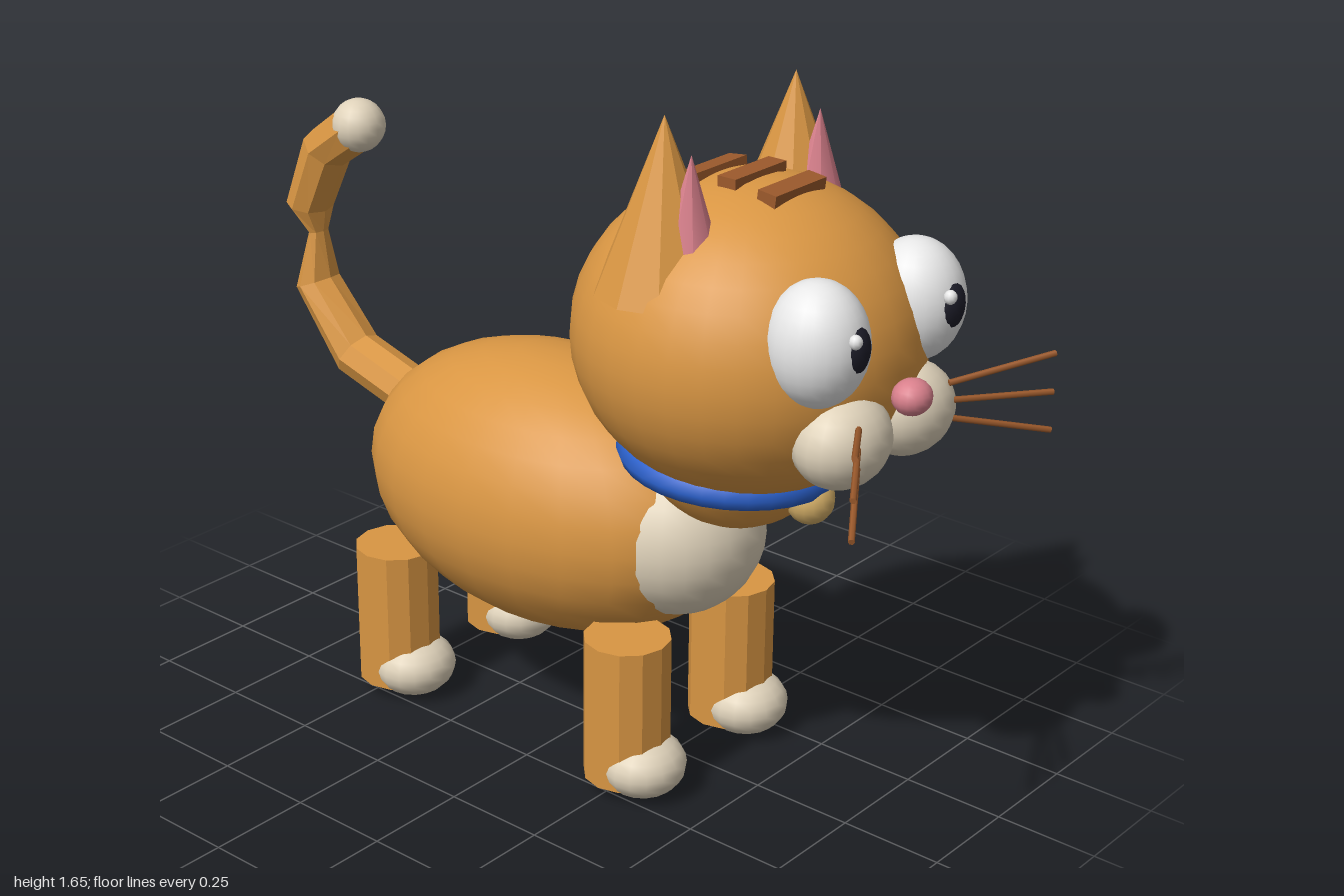
import * as THREE from 'three';

const makeMat = (name, color, flatShading = false) => {
  const m = new THREE.MeshStandardMaterial({ color, flatShading });
  m.name = name;
  return m;
};

export function createModel() {
  const cat = new THREE.Group();
  cat.name = 'cat';
  const fur = makeMat('orange fur', 0xd99643);
  const furFlat = makeMat('orange fur faceted', 0xd99643, true);
  const cream = makeMat('cream fur', 0xdfd2ba);
  const white = makeMat('eye white', 0xe8e8e8);
  const black = makeMat('pupil black', 0x1c1c28);
  const pink = makeMat('pink', 0xd9808c);
  const brown = makeMat('stripe brown', 0x9c5a2c);
  const blue = makeMat('collar blue', 0x2a5fc8);
  const brass = makeMat('bell brass', 0xd6b068);

  const add = (name, geometry, material, x = 0, y = 0, z = 0) => {
    const mesh = new THREE.Mesh(geometry, material);
    mesh.name = name;
    mesh.position.set(x, y, z);
    cat.add(mesh);
    return mesh;
  };
  const ball = (name, material, [x, y, z], [rx, ry, rz], w = 24, h = 16) =>
    add(name, new THREE.SphereGeometry(1, w, h).scale(rx, ry, rz), material, x, y, z);

  // Torso, neck and head, facing +x
  ball('body', fur, [-0.12, 0.595, 0], [0.53, 0.335, 0.335]);
  ball('chest', cream, [0.245, 0.595, 0], [0.21, 0.208, 0.21]);
  ball('neck', fur, [0.42, 0.896, 0], [0.232, 0.232, 0.232]);
  ball('head', fur, [0.443, 1.125, 0], [0.395, 0.355, 0.39], 32, 20);

  // Collar and bell
  const collar = add('collar', new THREE.TorusGeometry(0.23, 0.034, 8, 32).rotateX(Math.PI / 2), blue, 0.408, 0.832, 0);
  collar.rotation.z = -0.06;
  ball('bell', brass, [0.62, 0.775, 0], [0.056, 0.058, 0.056], 16, 12);

  // Forehead stripes
  [[0.335, 1.463, 0.12], [0.44, 1.475, 0], [0.545, 1.464, -0.12]].forEach(([x, y, tilt]) => {
    add('foreheadStripe', new THREE.BoxGeometry(0.048, 0.036, 0.176), brown, x, y, 0).rotation.z = tilt;
  });

  // Nose
  ball('nose', pink, [0.872, 1.085, 0], [0.043, 0.04, 0.047], 16, 12);

  // Whisker rod between two points
  const rod = (name, a, b) => {
    const from = new THREE.Vector3(...a), to = new THREE.Vector3(...b);
    const dir = to.clone().sub(from);
    const mesh = add(name, new THREE.CylinderGeometry(0.007, 0.007, dir.length(), 6), brown);
    mesh.position.copy(from).add(to).multiplyScalar(0.5);
    mesh.quaternion.setFromUnitVectors(new THREE.Vector3(0, 1, 0), dir.normalize());
  };

  // Mirrored parts
  for (const s of [1, -1]) {
    const side = s > 0 ? 'A' : 'B';
    add('ear' + side, new THREE.ConeGeometry(0.15, 0.385, 10), furFlat, 0.382, 1.457, s * 0.225);
    add('innerEar' + side, new THREE.ConeGeometry(0.075, 0.26, 8), pink, 0.452, 1.447, s * 0.222);
    ball('eye' + side, white, [0.75, 1.225, s * 0.175], [0.113, 0.138, 0.11]);
    ball('pupil' + side, black, [0.835, 1.232, s * 0.172], [0.036, 0.058, 0.045], 16, 12);
    ball('eyeGlint' + side, white, [0.86, 1.262, s * 0.17 + 0.026], [0.015, 0.016, 0.015], 10, 8);
    ball('muzzle' + side, cream, [0.78, 1.0, s * 0.117], [0.1, 0.105, 0.123], 20, 14);
    [[1.06, 1.102], [1.02, 1.012], [0.98, 0.922]].forEach(([y0, y1]) =>
      rod('whisker' + side, [0.855, y0, s * 0.165], [0.99, y1, s * 0.37]));
    // Legs and paws
    for (const [end, x] of [['front', 0.263], ['rear', -0.475]]) {
      add(end + 'Leg' + side, new THREE.CylinderGeometry(0.102, 0.102, 0.355, 12), furFlat, x, 0.2125, s * 0.193);
      ball(end + 'Paw' + side, cream, [x + 0.05, 0.077, s * 0.193], [0.1, 0.076, 0.103], 16, 12);
    }
  }

  // Tail: rings of [x, y, direction angle, half width in plane, half depth], with a pinched twist
  const rings = [
    [-0.55, 0.68, 2.9, 0.06, 0.065], [-0.79, 0.75, 2.6, 0.062, 0.065], [-0.925, 0.91, 1.95, 0.05, 0.062],
    [-0.915, 1.045, 1.7, 0.018, 0.03], [-0.942, 1.11, 1.4, 0.055, 0.062], [-0.87, 1.27, 0.95, 0.062, 0.065],
    [-0.757, 1.35, 0.55, 0.062, 0.065],
  ];
  const n = 8, verts = [], faces = [];
  rings.forEach(([x, y, a, w, d], i) => {
    for (let j = 0; j < n; j++) {
      const t = (j / n) * Math.PI * 2;
      verts.push(x - Math.sin(a) * w * Math.cos(t), y + Math.cos(a) * w * Math.cos(t), d * Math.sin(t));
      if (i) {
        const k = (j + 1) % n, p = (i - 1) * n, q = i * n;
        faces.push(p + j, p + k, q + j, p + k, q + k, q + j);
      }
    }
  });
  const tail = new THREE.BufferGeometry();
  tail.setAttribute('position', new THREE.Float32BufferAttribute(verts, 3));
  tail.setIndex(faces);
  tail.computeVertexNormals();
  add('tail', tail, furFlat);
  ball('tailTip', cream, [-0.757, 1.35, 0], [0.066, 0.066, 0.066], 16, 12);

  return cat;
}
